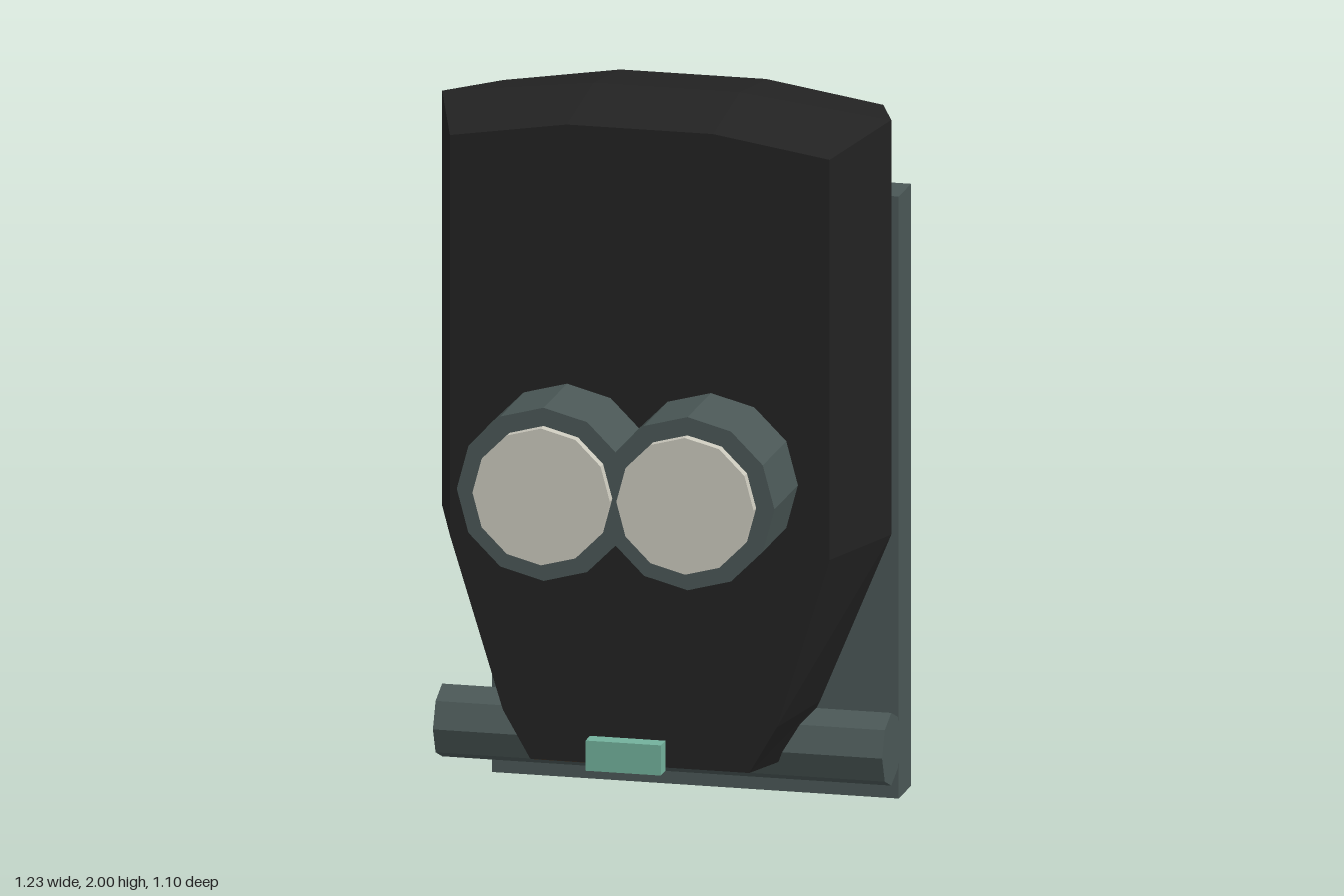
import * as THREE from 'three';

const mat = (name, color) => {
  const m = new THREE.MeshStandardMaterial({ color });
  m.name = name;
  return m;
};

export function createModel() {
  const group = new THREE.Group();
  const black = mat('black', 0x222222);
  const slate = mat('slate', 0x4a5756);
  const cream = mat('cream', 0xcac8bc);
  const mint = mat('mint', 0x72b09b);
  const green = mat('green', 0x4a8a2c);
  const yellow = mat('yellow', 0xc4a52e);
  const orange = mat('orange', 0xcc6c34);
  const grey = mat('warmGrey', 0x4c453e);
  const brown = mat('brown', 0x35281c);

  const add = (name, geo, material, x = 0, y = 0, z = 0) => {
    const g = geo.index ? geo.toNonIndexed() : geo;
    g.computeVertexNormals(); // faceted
    const m = new THREE.Mesh(g, material);
    m.name = name;
    m.position.set(x, y, z);
    group.add(m);
    return m;
  };
  // box given by its limits, symmetric in x
  const box = (name, material, halfX, y0, y1, z0, z1) =>
    add(name, new THREE.BoxGeometry(halfX * 2, y1 - y0, z1 - z0), material, 0, (y0 + y1) / 2, (z0 + z1) / 2);

  // body: a narrower front and back outline around a wide middle one
  const outline = (half, z) => [
    ...half.map(([x, y]) => [x, y, z]),
    ...half.slice().reverse().map(([x, y]) => [-x, y, z]),
  ];
  const face = [[0.3, 0.21], [0.375, 0.34], [0.52, 0.81], [0.52, 1.91], [0.2, 1.96]];
  const middle = [[0.34, 0.18], [0.42, 0.34], [0.615, 0.81], [0.615, 1.95], [0.2, 2.0]];
  const rings = [outline(face, 0.257), outline(middle, -0.035), outline(face, -0.325)];
  const pos = [];
  const n = rings[0].length;
  for (let r = 0; r < 2; r++) {
    for (let i = 0; i < n; i++) {
      const j = (i + 1) % n, a = rings[r], b = rings[r + 1];
      pos.push(...a[i], ...b[i], ...b[j], ...a[i], ...b[j], ...a[j]);
    }
  }
  for (let i = 1; i < n - 1; i++) {
    pos.push(...rings[0][0], ...rings[0][i], ...rings[0][i + 1]);
    pos.push(...rings[2][0], ...rings[2][i + 1], ...rings[2][i]);
  }
  const bodyGeo = new THREE.BufferGeometry();
  bodyGeo.setAttribute('position', new THREE.Float32BufferAttribute(pos, 3));
  add('body', bodyGeo, black);

  // brown strip under the front edge
  const strip = add('undersideStrip', new THREE.BoxGeometry(0.36, 0.004, 0.28), brown, -0.12, 0.195, 0.111);
  strip.rotation.x = -Math.atan2(0.03, 0.292);

  // twin barrels with lenses
  for (const s of [-1, 1]) {
    const barrel = new THREE.CylinderGeometry(0.238, 0.238, 0.255, 12).rotateX(Math.PI / 2);
    add('barrel', barrel, slate, s * 0.197, 1.012, 0.3925);
    const lens = new THREE.CylinderGeometry(0.188, 0.188, 0.03, 12).rotateX(Math.PI / 2);
    add('lens', lens, cream, s * 0.197, 1.012, 0.533);
  }

  // cross bar and front tab
  add('crossBar', new THREE.CylinderGeometry(0.1, 0.1, 1.23, 8).rotateZ(Math.PI / 2), slate, 0, 0.22, -0.035);
  box('frontTab', mint, 0.103, 0.237, 0.32, 0.388, 0.438);

  // back board with hatch and handle
  box('backBoard', slate, 0.557, 0, 1.655, -0.48, -0.345);
  box('hatch', slate, 0.3, 0.045, 0.695, -0.508, -0.48);
  box('hatchHandle', cream, 0.1, 0.122, 0.19, -0.55, -0.508);

  // painted panel on the back of the body; u runs rightwards seen from behind
  const paint = (name, material, pts, z, dy = 0) => {
    const shape = new THREE.Shape(pts.map(([u, y]) => new THREE.Vector2(u, y + dy)));
    add(name, new THREE.ShapeGeometry(shape).rotateY(Math.PI), material, 0, 0, z);
  };
  paint('panelBase', cream, [[-0.49, 0.85], [0.49, 0.85], [0.49, 1.8], [0.3, 1.82], [-0.4, 1.81], [-0.49, 1.83]], -0.328);
  const patches = [
    ['greenPatch', green, [[-0.43, 1.825], [-0.36, 1.75], [-0.23, 1.755], [-0.23, 1.83], [-0.33, 1.835]]],
    ['yellowPatch', yellow, [[-0.23, 1.765], [-0.1, 1.74], [0.1, 1.755], [0.1, 1.865], [0, 1.86], [-0.08, 1.875], [-0.23, 1.83]]],
    ['orangePatch', orange, [[0.1, 1.755], [0.25, 1.73], [0.42, 1.74], [0.49, 1.8], [0.36, 1.83], [0.25, 1.865], [0.1, 1.865]]],
  ];
  for (const [name, material, pts] of patches) {
    for (let row = 0; row < 4; row++) paint(name, material, pts, -0.331, -row * 0.2);
  }
  for (const [u, y] of [[-0.2, 1.885], [-0.02, 1.895], [0.2, 1.89], [0.39, 1.865]]) {
    const blob = new THREE.CircleGeometry(0.042, 8).scale(1, 0.8, 1).rotateY(Math.PI);
    add('greySpot', blob, grey, -u, y, -0.329);
  }
  return group;
}
